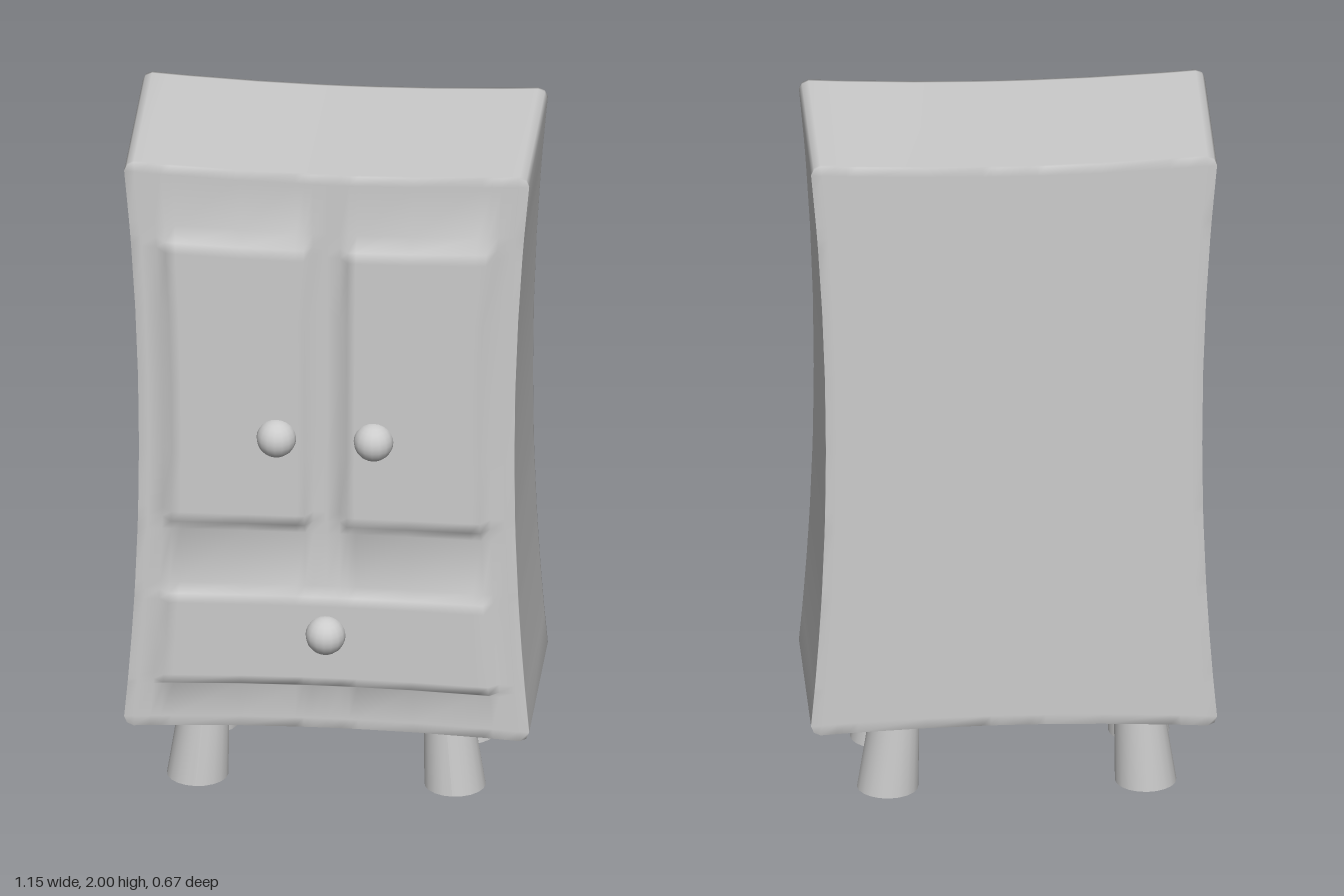
import * as THREE from 'three';
import { mergeVertices } from 'three/addons/utils/BufferGeometryUtils.js';

const material = new THREE.MeshStandardMaterial({ color: 0xcccccc });

// Grid lines of the cabinet, with supporting lines beside each edge
const half = [0, 0.04, 0.065, 0.09, 0.25, 0.445, 0.475, 0.505, 0.55, 0.58];
const xs = [...half.slice(1).reverse().map((x) => -x), ...half];
const ys = [0.21, 0.24, 0.345, 0.36, 0.385, 0.5, 0.615, 0.645, 0.67, 0.84, 0.88, 0.91,
  1.1, 1.32, 1.54, 1.735, 1.77, 1.81, 1.97, 2];
const zs = [-0.335, -0.325, 0.235, 0.245];

// Raised height of doors and drawer at a grid point of the front
function relief(x, y) {
  const a = Math.abs(x), e = 0.001;
  if (a > 0.064 && a < 0.475 + e && y > 0.88 - e && y < 1.77 + e) return 0.034;
  if (a < 0.475 + e && y > 0.36 - e && y < 0.645 + e) return 0.026;
  return 0;
}

function add(group, name, geometry, x = 0, y = 0, z = 0) {
  const mesh = new THREE.Mesh(geometry, material);
  mesh.name = name;
  mesh.position.set(x, y, z);
  group.add(mesh);
}

// Waisted cabinet with raised doors and drawer in one smooth skin
function cabinetGeometry() {
  let geo = new THREE.BoxGeometry(1, 1, 1, xs.length - 1, ys.length - 1, zs.length - 1);
  geo.deleteAttribute('normal');
  geo.deleteAttribute('uv');
  geo = mergeVertices(geo, 1e-4);
  const p = geo.attributes.position;
  const pick = (list, t) => list[Math.round((t + 0.5) * (list.length - 1))];
  for (let i = 0; i < p.count; i++) {
    let x = pick(xs, p.getX(i)), y = pick(ys, p.getY(i)), z = pick(zs, p.getZ(i));
    if (z === 0.245) z += relief(x, y);
    const s = (y - 1.105) / 0.895, u = x / 0.58;
    // Cut the four outline corners
    if (Math.abs(u) > 0.999 && Math.abs(s) > 0.999) {
      x -= Math.sign(x) * 0.011;
      y -= Math.sign(s) * 0.011;
    }
    // Pinch the sides, and dip the top and bottom at the middle
    p.setXYZ(i, x * (0.922 + 0.078 * s * s), y - 0.02 * s * (1 - u * u), z);
  }
  geo.computeVertexNormals();
  return geo;
}

// Flared leg, leaning slightly outwards
function legGeometry(side) {
  const geo = new THREE.CylinderGeometry(0.07, 0.0875, 0.24, 20);
  const p = geo.attributes.position;
  for (let i = 0; i < p.count; i++) p.setX(i, p.getX(i) - side * p.getY(i) * 0.085);
  geo.computeVertexNormals();
  return geo;
}

export function createModel() {
  const group = new THREE.Group();
  group.name = 'wardrobe';
  add(group, 'cabinet', cabinetGeometry());

  // Round handles
  const knob = new THREE.SphereGeometry(0.057, 16, 12);
  add(group, 'rightDoorKnob', knob, -0.14, 1.16, 0.277);
  add(group, 'leftDoorKnob', knob, 0.137, 1.16, 0.277);
  add(group, 'drawerKnob', knob, 0, 0.54, 0.277);

  // Four legs
  for (const [side, x] of [[-1, -0.37], [1, 0.343]]) {
    const leg = legGeometry(side);
    const name = side > 0 ? 'Left' : 'Right';
    add(group, `front${name}Leg`, leg, x, 0.12, 0.103);
    add(group, `back${name}Leg`, leg, x, 0.12, -0.23);
  }
  return group;
}
